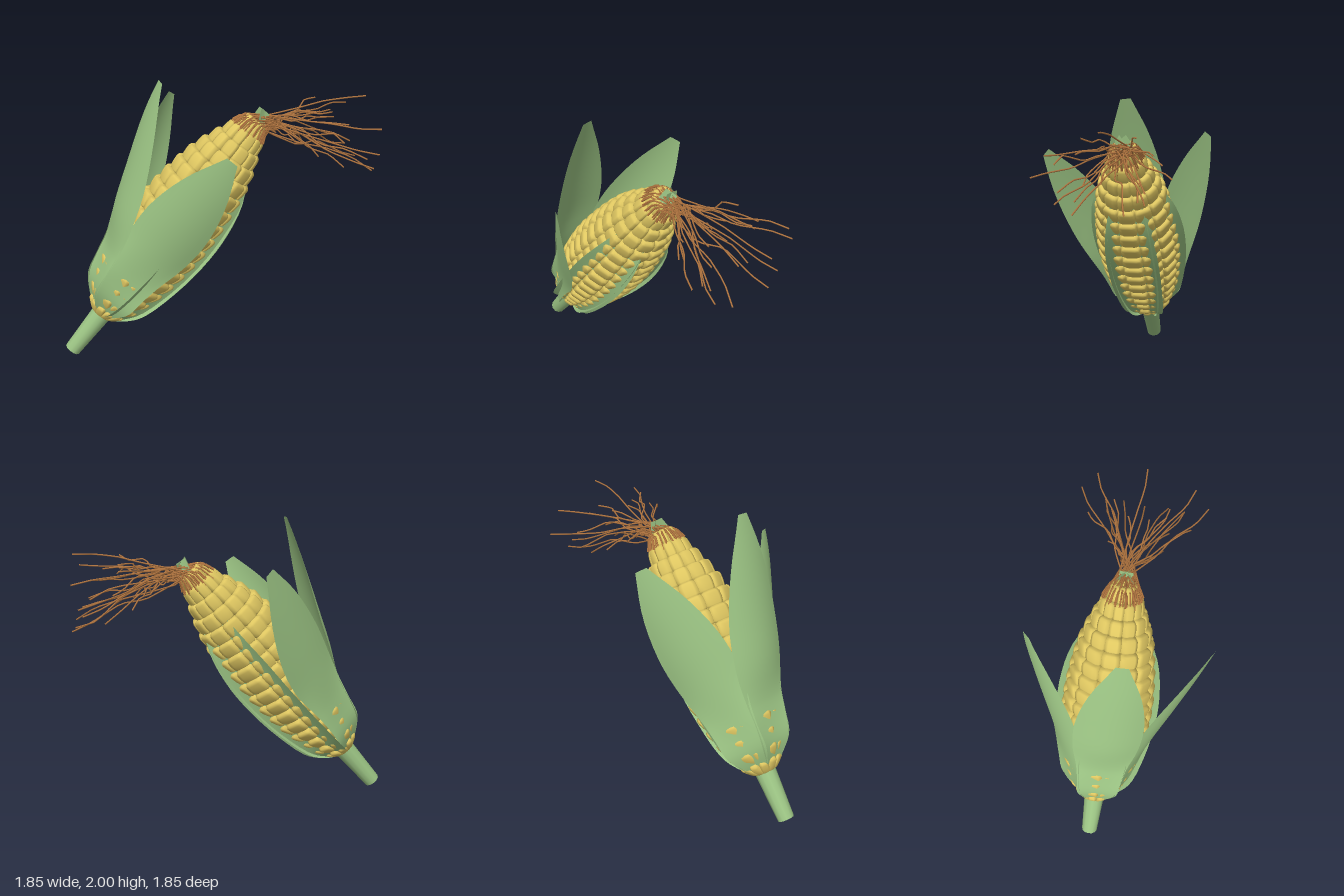
import * as THREE from 'three';
import { mergeGeometries } from 'three/addons/utils/BufferGeometryUtils.js';

const V = (x, y, z) => new THREE.Vector3(x, y, z);
const rad = THREE.MathUtils.degToRad;

// Small seeded generator for the silk
let seed = 7;
const rnd = () => {
  seed = (seed * 16807) % 2147483647;
  return seed / 2147483647 - 0.5;
};

// Cob outline: distance along the axis, outer radius of the kernels
const cobProfile = new THREE.SplineCurve([
  [0.37, 0.11], [0.45, 0.16], [0.55, 0.21], [0.8, 0.28], [1.1, 0.312], [1.35, 0.304],
  [1.67, 0.257], [1.9, 0.178], [2.05, 0.11], [2.11, 0.07],
].map(p => new THREE.Vector2(...p)));

// Boxy pillow used for every kernel
function kernelShape() {
  const g = new THREE.SphereGeometry(1, 10, 8);
  const p = g.attributes.position;
  const box = v => Math.sign(v) * Math.abs(v) ** 0.55;
  for (let i = 0; i < p.count; i++) p.setXYZ(i, box(p.getX(i)), box(p.getY(i)), box(p.getZ(i)));
  g.computeVertexNormals();
  return g;
}

function kernels() {
  const shape = kernelShape(), parts = [];
  const rows = 12, count = 17;
  for (let j = 0; j < count; j++) {
    const u = (j + 0.4) / count;
    const c = cobProfile.getPointAt(u), t = cobProfile.getTangentAt(u);
    const tilt = Math.atan2(t.y, t.x) + 0.27;
    for (let k = 0; k < rows; k++) {
      const g = shape.clone();
      g.scale(Math.max(0.02, c.y * Math.sin(Math.PI / rows) * 0.99), 0.062, 0.045);
      g.rotateX(tilt);
      g.translate(0, c.x, c.y - 0.046);
      g.rotateY(k * 2 * Math.PI / rows);
      parts.push(g);
    }
  }
  return mergeGeometries(parts);
}

// Husk leaf: rows of [distance along axis, radius, half width];
// bend(d) is the curvature across: positive cups the cob, negative flares the edges.
function leaf(rows, angle, bend) {
  const curve = new THREE.CatmullRomCurve3(rows.map(r => V(...r)), false, 'centripetal');
  const N = 30, M = 10, pos = [], idx = [];
  for (let i = 0; i <= N; i++) {
    const { x: d, y: r, z: w } = curve.getPoint(i / N);
    for (let j = 0; j <= M; j++) {
      const s = (j / M * 2 - 1) * w;
      pos.push(s, d, r - bend(d) * s * s / 2);
      if (i < N && j < M) {
        const q = i * (M + 1) + j, n = q + M + 1;
        idx.push(q, q + 1, n + 1, q, n + 1, n);
      }
    }
  }
  const g = new THREE.BufferGeometry();
  g.setAttribute('position', new THREE.Float32BufferAttribute(pos, 3));
  g.setIndex(idx);
  g.computeVertexNormals();
  return g.rotateY(rad(angle));
}

export function createModel() {
  seed = 7;
  const mat = (name, color, side = THREE.FrontSide) => {
    const m = new THREE.MeshStandardMaterial({ color, side });
    m.name = name;
    return m;
  };
  const yellow = mat('kernel yellow', 0xdfc761);
  const green = mat('husk green', 0x9bc383, THREE.DoubleSide);
  const brown = mat('silk brown', 0xb0743f);

  const model = new THREE.Group();
  model.name = 'cornCob';
  const ear = new THREE.Group();
  ear.name = 'ear';
  model.add(ear);
  const add = (name, geo, material, parent = ear) => {
    const m = new THREE.Mesh(geo, material);
    m.name = name;
    parent.add(m);
  };

  // Leaning frame: local y runs up the cob, local z faces the open side
  const axis = V(0.4565, 0.764, -0.4565).normalize();
  const side = V(1, 0, 1).normalize();
  const frame = new THREE.Matrix4().makeBasis(side, axis, side.clone().cross(axis));
  ear.quaternion.setFromRotationMatrix(frame);
  ear.position.set(-0.875, 0.037, 0.875);
  ear.updateMatrix();

  // Stalk
  add('stalk', new THREE.CylinderGeometry(0.077, 0.057, 0.42, 12).translate(0, 0.21, 0), green);

  // Cob core and kernels
  const core = cobProfile.getPoints(24).map(p => new THREE.Vector2(Math.max(0.02, p.y - 0.05), p.x));
  add('cobCore', new THREE.LatheGeometry([new THREE.Vector2(0, 0.38), ...core, new THREE.Vector2(0, 2.12)], 24), yellow);
  add('kernels', kernels(), yellow);

  // Three peeled leaves: edges flare at the base so kernels show through, cupped above
  const peeled = [
    [0.37, 0.085, 0.05], [0.43, 0.14, 0.09], [0.53, 0.205, 0.14], [0.68, 0.25, 0.155], [0.82, 0.292, 0.175],
    [1.05, 0.385, 0.22], [1.3, 0.485, 0.225], [1.6, 0.6, 0.16], [1.88, 0.7, 0.04],
  ];
  const cupped = d => THREE.MathUtils.lerp(-1.2, 2.2, THREE.MathUtils.smoothstep(d, 0.5, 1.05));
  for (const [name, angle, k] of [['leafLeft', 71, 0.98], ['leafTop', 9, 1.07], ['leafRight', -51, 0.98]]) {
    const rows = peeled.map(([d, r, w]) => [d > 1 ? 1 + (d - 1) * k : d, d > 1 ? r * k : r, w]);
    add(name, leaf(rows, angle, cupped), green);
  }

  // Three leaves still wrapped round the underside: a kernel row breaks through
  // the middle of each, and the flared edges stand proud of the rows between
  const wrapped = [
    [0.37, 0.085, 0.07], [0.43, 0.135, 0.11], [0.53, 0.185, 0.15], [0.8, 0.24, 0.18], [1.1, 0.265, 0.195],
    [1.35, 0.26, 0.19], [1.6, 0.23, 0.152], [1.9, 0.12, 0.06], [2.08, 0.07, 0.05], [2.2, 0, 0.045],
  ];
  for (const angle of [120, 180, 240]) add('wrappedLeaf', leaf(wrapped, angle, () => -1.7), green);

  // Silk: each strand leaves the tip ring, sweeps to the back and runs to its end
  const sweep = (a, end) => {
    const at = (d, r) => V(Math.sin(a) * r, d, Math.cos(a) * r).applyMatrix4(ear.matrix);
    const gather = V(0.17 + rnd() * 0.09, 1.62 + rnd() * 0.12, -0.17 + rnd() * 0.09);
    const pts = [at(2.0 + rnd() * 0.05, 0.138), at(2.1, 0.1), gather];
    if (end) {
      for (const t of [0.3, 0.55, 0.8]) {
        pts.push(gather.clone().lerp(end, t).add(V(rnd() * 0.05, rnd() * 0.07 + 0.01, rnd() * 0.05)));
      }
      pts.push(end);
    }
    const path = new THREE.CatmullRomCurve3(pts, false, 'catmullrom', 0.1);
    return new THREE.TubeGeometry(path, end ? 16 : 6, 0.0055, 5);
  };

  // Strand ends on one side of the lean plane, mirrored to the other
  const ends = [
    [0.92, 1.49, -0.29], [0.88, 1.63, -0.4], [0.83, 1.33, -0.43], [0.77, 1.27, -0.54],
    [0.79, 1.4, -0.4], [0.7, 1.56, -0.2], [0.64, 1.33, -0.35], [0.56, 1.73, -0.3],
    [0.65, 1.63, -0.38], [0.5, 1.42, -0.23], [0.48, 1.66, -0.38], [0.4, 1.5, -0.22],
  ];
  const all = [[0.65, 1.77, -0.65], [0.58, 1.45, -0.57]];
  for (const [x, y, z] of ends) all.push([x, y, z], [-z, y, -x]);
  add('silk', mergeGeometries(all.map((e, i) => sweep(i * 2.4, V(...e)))), brown, model);

  // Short silk wisps hugging the tip
  const wisps = [];
  for (let i = 0; i < 24; i++) wisps.push(sweep(i * Math.PI / 12));
  add('tipSilk', mergeGeometries(wisps), brown, model);

  return model;
}
